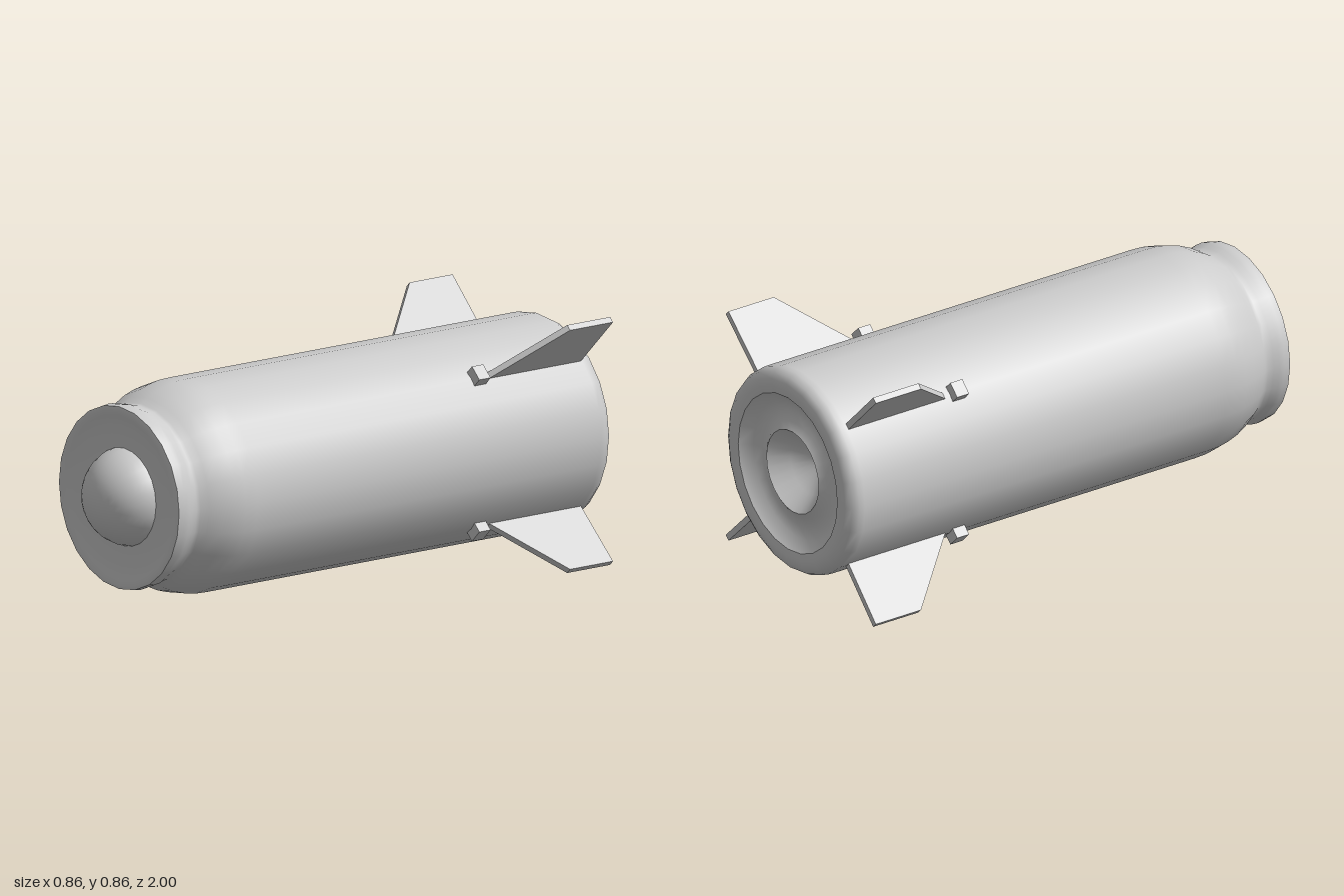
import * as THREE from 'three';

const AXIS_Y = 0.435;
const SIDES = 24;

// Surface of revolution about z; profile points are [radius, z], back to front on the outside
function turned(name, points, material) {
  const profile = points.map(([r, z]) => new THREE.Vector2(r, z));
  const geometry = new THREE.LatheGeometry(profile, SIDES).rotateX(Math.PI / 2);
  const mesh = new THREE.Mesh(geometry, material);
  mesh.name = name;
  return mesh;
}

export function createModel() {
  const grey = new THREE.MeshStandardMaterial({ color: 0xcccccc });
  grey.name = 'grey metal';

  const model = new THREE.Group();
  model.name = 'finnedCylinder';
  const body = new THREE.Group();
  body.name = 'body';
  body.position.y = AXIS_Y;
  model.add(body);

  // Tail: a funnel inside a rounded trough
  body.add(turned('tailFunnel', [[0, -0.84], [0.05, -0.865], [0.1, -0.91], [0.15, -0.975]], grey));
  body.add(turned('tailTrough', [
    [0.15, -0.975], [0.175, -0.957], [0.21, -0.948], [0.25, -0.957], [0.285, -0.995],
  ], grey));

  // Hull with rounded back edge, shoulder, neck and front rim
  body.add(turned('hull', [
    [0.285, -0.995], [0.31, -1], [0.335, -0.998], [0.357, -0.985], [0.369, -0.962], [0.37, -0.94],
    [0.37, 0.58], [0.368, 0.63], [0.361, 0.67], [0.348, 0.715], [0.328, 0.76], [0.312, 0.785],
    [0.31, 0.8], [0.313, 0.82], [0.319, 0.84], [0.321, 0.86], [0.318, 0.885],
  ], grey));

  // Shallow dished front face with a domed nose
  body.add(turned('frontFace', [
    [0.318, 0.885], [0.305, 0.888], [0.285, 0.882], [0.25, 0.872], [0.17, 0.864], [0, 0.862],
  ], grey));
  const nose = new THREE.Mesh(
    new THREE.SphereGeometry(0.175, SIDES, 12, 0, Math.PI * 2, 0, Math.PI / 2).rotateX(Math.PI / 2),
    grey,
  );
  nose.name = 'nose';
  nose.position.z = 0.825;
  body.add(nose);

  // Fin outline: shape x is the radius, shape y is -z before turning
  const outline = new THREE.Shape();
  outline.moveTo(0.355, 0.53);
  outline.lineTo(0.37, 0.53);
  outline.lineTo(0.6, 0.75);
  outline.lineTo(0.6, 0.94);
  outline.lineTo(0.355, 0.935);
  outline.closePath();
  const finGeometry = new THREE.ExtrudeGeometry(outline, { depth: 0.022, bevelEnabled: false });
  finGeometry.translate(0, 0, -0.011).rotateX(-Math.PI / 2);
  const lugGeometry = new THREE.BoxGeometry(0.056, 0.056, 0.05);

  // Four diagonal fins, each with a small lug ahead of it
  for (let i = 0; i < 4; i++) {
    const unit = new THREE.Group();
    unit.name = 'finUnit' + (i + 1);
    unit.rotation.z = Math.PI / 4 + (i * Math.PI) / 2;
    const fin = new THREE.Mesh(finGeometry, grey);
    fin.name = 'fin';
    const lug = new THREE.Mesh(lugGeometry, grey);
    lug.name = 'lug';
    lug.position.set(0.375, 0, -0.48);
    unit.add(fin, lug);
    body.add(unit);
  }

  return model;
}
